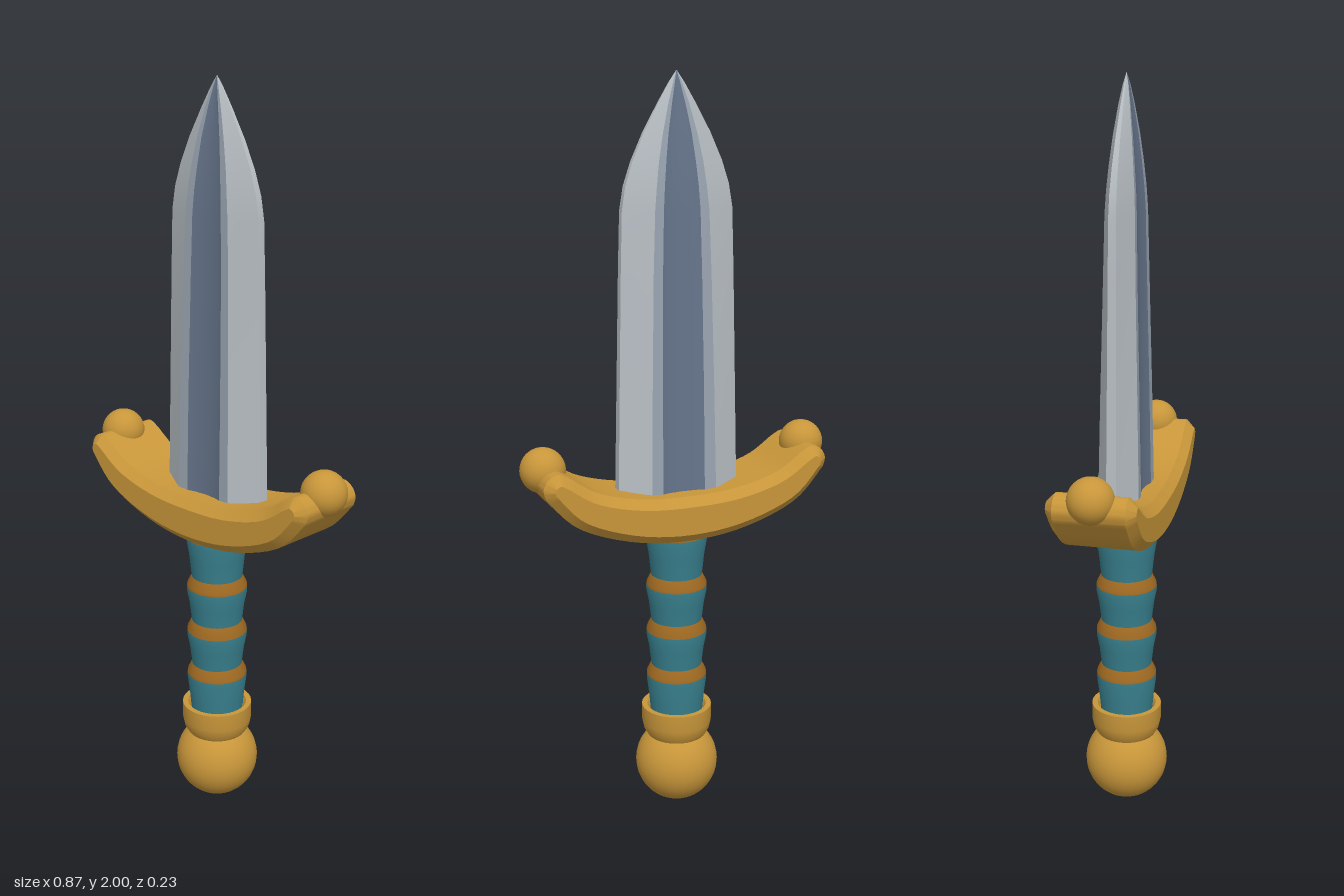
import * as THREE from 'three';
import { mergeGeometries, toCreasedNormals } from 'three/addons/utils/BufferGeometryUtils.js';

const mat = (name, color, side = THREE.FrontSide) => {
  const m = new THREE.MeshStandardMaterial({ color, side });
  m.name = name;
  return m;
};

export function createModel() {
  const gold = mat('gold', 0xc8963a);
  const bronze = mat('bronze', 0xa06a22);
  const teal = mat('teal leather', 0x38808e);
  const steel = mat('light steel', 0xb8bfc4);
  const midSteel = mat('mid steel', 0x9aa5b1);
  const darkSteel = mat('dark steel', 0x66758b);

  const model = new THREE.Group();
  model.name = 'dagger';
  const add = (name, geometry, material, x = 0, y = 0, z = 0) => {
    const mesh = new THREE.Mesh(geometry, material);
    mesh.name = name;
    mesh.position.set(x, y, z);
    model.add(mesh);
    return mesh;
  };
  const lathe = (points) => toCreasedNormals(
    new THREE.LatheGeometry(points.map(([r, y]) => new THREE.Vector2(r, y)), 32), 0.5);

  // Pommel and collar
  add('pommel', new THREE.SphereGeometry(0.115, 32, 20), gold, 0, 0.115, 0);
  add('collar', lathe([[0.06, 0.2], [0.082, 0.2], [0.092, 0.217], [0.097, 0.24],
    [0.097, 0.287], [0.082, 0.287], [0.074, 0.27], [0.05, 0.27]]), gold);

  // Grip: tapered wraps, each sitting on a flared ring
  const wraps = [[0.24, 0.38], [0.412, 0.512], [0.544, 0.644], [0.676, 0.79]];
  wraps.forEach(([bottom, top], i) => {
    const mid = (bottom + top) / 2;
    add('gripWrap', lathe([[0.07, bottom], [0.076, mid], [0.083, top - 0.015], [0.083, top]]), teal);
    const next = i < 3 ? wraps[i + 1][0] : 0.83;
    add('gripRing', lathe([[0.083, top], [0.082, top + 0.008], [0.07, next]]), bronze);
  });

  // Crossguard: bevelled crescent
  const v = (x, y) => new THREE.Vector2(x, y);
  const guard = new THREE.Shape();
  guard.moveTo(-0.395, 0.96);
  guard.splineThru([v(-0.31, 0.872), v(-0.16, 0.815), v(0, 0.797), v(0.16, 0.815), v(0.31, 0.872), v(0.395, 0.96)]);
  guard.splineThru([v(0.4, 0.985), v(0.386, 1.01), v(0.358, 1.021), v(0.325, 1.005)]);
  guard.splineThru([v(0.25, 0.958), v(0.13, 0.928), v(0, 0.921), v(-0.13, 0.928), v(-0.25, 0.958), v(-0.325, 1.005)]);
  guard.splineThru([v(-0.358, 1.021), v(-0.386, 1.01), v(-0.4, 0.985), v(-0.395, 0.96)]);
  const guardGeo = new THREE.ExtrudeGeometry(guard, {
    depth: 0.184, curveSegments: 4, bevelEnabled: true, bevelSegments: 1,
    bevelSize: 0.024, bevelThickness: 0.023, bevelOffset: -0.024,
  });
  guardGeo.translate(0, 0, -0.092);
  add('crossguard', toCreasedNormals(guardGeo, 0.5), gold);
  for (const s of [-1, 1]) add('guardBall', new THREE.SphereGeometry(0.06, 24, 16), gold, s * 0.373, 1.01, 0);

  // Blade rows: height, edge half width, ridge x, fuller x, half thickness
  const rows = [
    [0.86, 0.172, 0.093, 0.06, 0.056], [1.2, 0.164, 0.087, 0.058, 0.049],
    [1.5, 0.157, 0.08, 0.054, 0.042], [1.66, 0.152, 0.074, 0.05, 0.039],
    [1.72, 0.142, 0.068, 0.046, 0.036], [1.78, 0.122, 0.06, 0.04, 0.031],
    [1.85, 0.09, 0.046, 0.031, 0.024], [1.92, 0.051, 0.028, 0.018, 0.015],
    [1.97, 0.021, 0.012, 0.007, 0.007], [2, 0, 0, 0, 0],
  ];
  // Cross-section points of one row
  const edge = (s, f = 1) => ([, w, , , t]) => [s * w, f * t * 0.25];
  const ridge = (s) => ([, , r, , t]) => [s * r, t];
  const fuller = (k, depth) => ([, , , f, t]) => [k * f, t * depth];

  // Smooth patch through neighbouring columns, listed from +x to -x
  const patch = (columns) => {
    const pos = [], index = [], n = columns.length;
    rows.forEach((row, j) => columns.forEach((column, i) => {
      const [x, z] = column(row);
      pos.push(x, row[0], z);
      if (j && i) {
        const d = j * n + i, c = d - 1, b = d - n, a = b - 1;
        index.push(b, a, c, b, c, d);
      }
    }));
    const g = new THREE.BufferGeometry();
    g.setAttribute('position', new THREE.Float32BufferAttribute(pos, 3));
    g.setIndex(index);
    g.computeVertexNormals();
    return g;
  };
  const bothSides = (patches) => mergeGeometries(patches.flatMap((g) => [g, g.clone().rotateY(Math.PI)]));

  add('bladeEdges', bothSides([
    patch([edge(1), ridge(1)]), patch([ridge(-1), edge(-1)]), patch([edge(-1), edge(-1, -1)]),
  ]), steel);
  add('bladeRidges', bothSides([
    patch([ridge(1), fuller(1, 0.98)]), patch([fuller(-1, 0.98), ridge(-1)]),
  ]), midSteel);
  add('bladeFuller', bothSides([
    patch([fuller(1, 0.98), fuller(0.6, 0.85), fuller(0, 0.79), fuller(-0.6, 0.85), fuller(-1, 0.98)]),
  ]), darkSteel);

  return model;
}
